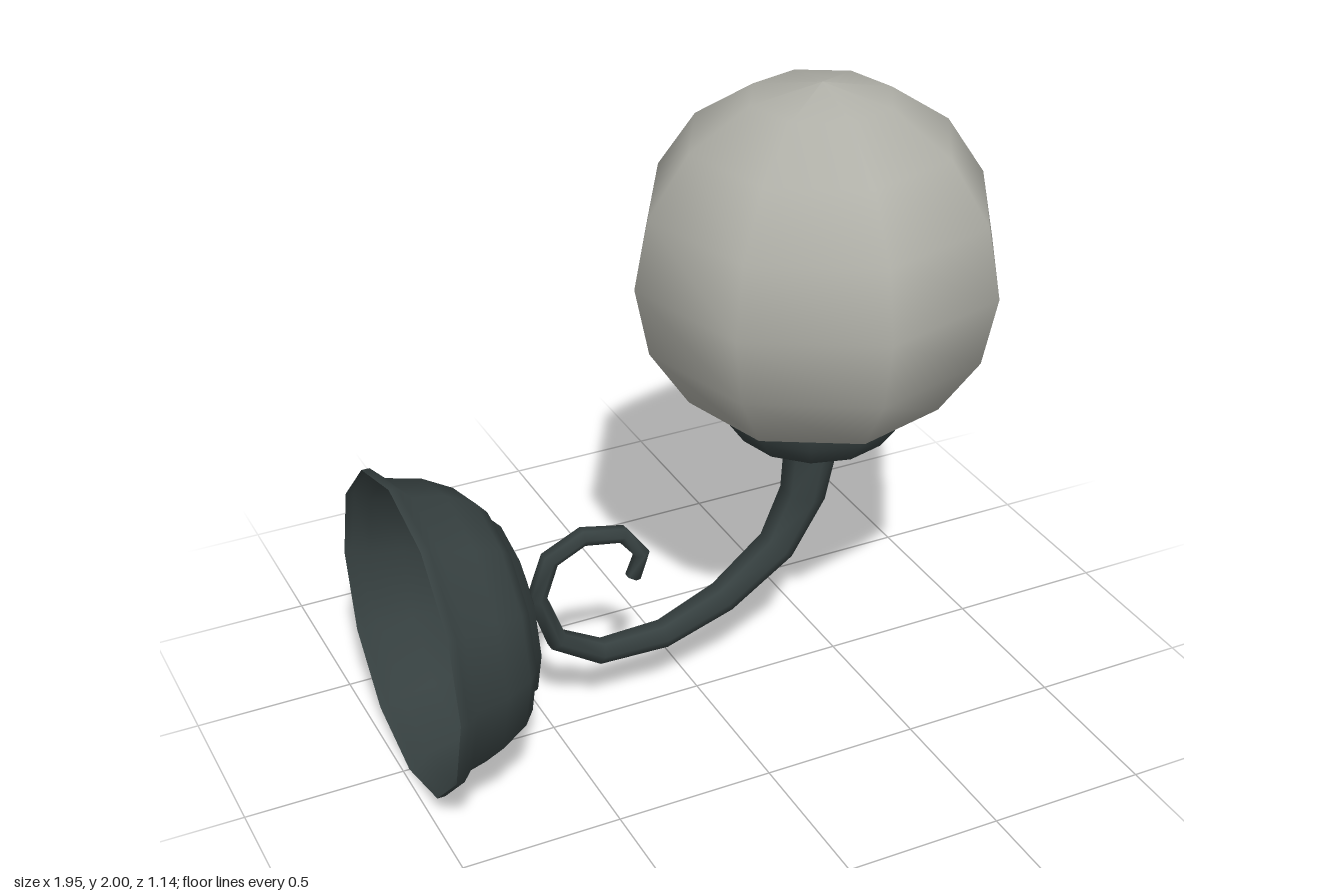
import * as THREE from 'three';

const iron = new THREE.MeshStandardMaterial({ color: 0x364040, side: THREE.DoubleSide });
iron.name = 'dark iron';
const glass = new THREE.MeshStandardMaterial({ color: 0xb0b0a8, side: THREE.DoubleSide });
glass.name = 'frosted glass';

function lathe(name, profile, sides, material, start = 0) {
  const points = profile.map(([r, y]) => new THREE.Vector2(r, y));
  const mesh = new THREE.Mesh(new THREE.LatheGeometry(points, sides, start), material);
  mesh.name = name;
  return mesh;
}

// Tapering hexagonal tube along a path in the xy plane; each path point is [x, y, radius]
function taperedTube(path, sides) {
  const positions = [], index = [];
  path.forEach(([x, y, r], i) => {
    const a = path[Math.max(i - 1, 0)], b = path[Math.min(i + 1, path.length - 1)];
    const length = Math.hypot(b[0] - a[0], b[1] - a[1]);
    const nx = -(b[1] - a[1]) / length, ny = (b[0] - a[0]) / length;
    for (let j = 0; j < sides; j++) {
      const t = (j / sides) * Math.PI * 2;
      const s = Math.sin(t) * r;
      positions.push(x + nx * s, y + ny * s, Math.cos(t) * r);
      if (i < path.length - 1) {
        const p = i * sides + j, q = i * sides + (j + 1) % sides;
        index.push(p, p + sides, q, q, p + sides, q + sides);
      }
    }
  });
  // Close the thin tip
  for (let j = 1; j < sides - 1; j++) index.push(0, j, j + 1);
  const geometry = new THREE.BufferGeometry();
  geometry.setAttribute('position', new THREE.Float32BufferAttribute(positions, 3));
  geometry.setIndex(index);
  geometry.computeVertexNormals();
  return geometry;
}

export function createModel() {
  const group = new THREE.Group();
  group.name = 'wallLamp';

  // Hollow wall plate, turned so its axis points along +x
  const plate = lathe('wallPlate', [
    [0.5, -0.98], [0.5, -0.955], [0.46, -0.915], [0.435, -0.81], [0.385, -0.72],
    [0.345, -0.685], [0.3, -0.68], [0.285, -0.645], [0.14, -0.598], [0, -0.565],
  ], 12, iron);
  plate.rotation.z = -Math.PI / 2;
  plate.position.y = 0.5;
  group.add(plate);

  // Scrolled arm, thickening towards the cup
  const arm = new THREE.Mesh(taperedTube([
    [-0.22, 0.485, 0.025], [-0.19, 0.565, 0.026], [-0.255, 0.65, 0.028], [-0.385, 0.677, 0.03],
    [-0.495, 0.625, 0.031], [-0.54, 0.5, 0.032], [-0.48, 0.33, 0.036], [-0.335, 0.242, 0.041],
    [-0.12, 0.242, 0.046], [0.09, 0.32, 0.053], [0.28, 0.46, 0.062], [0.37, 0.63, 0.073],
    [0.4, 0.83, 0.086],
  ], 6), iron);
  arm.name = 'scrollArm';
  group.add(arm);

  // Cup holding the globe
  const cup = lathe('globeCup', [
    [0, 0.81], [0.13, 0.813], [0.24, 0.87], [0.29, 0.94], [0.292, 1.0],
  ], 12, iron);
  cup.position.x = 0.4;
  group.add(cup);

  // Eight-sided glass globe, drawn in to a neck inside the cup
  const profile = [[0.28, 0.992]];
  for (let i = 2; i <= 8; i++) {
    const t = (i / 8) * Math.PI;
    profile.push([Math.max(0, 0.574 * Math.sin(t)), 1.427 - 0.574 * Math.cos(t)]);
  }
  const globe = lathe('glassGlobe', profile, 8, glass, THREE.MathUtils.degToRad(-7));
  globe.position.x = 0.4;
  group.add(globe);

  return group;
}
